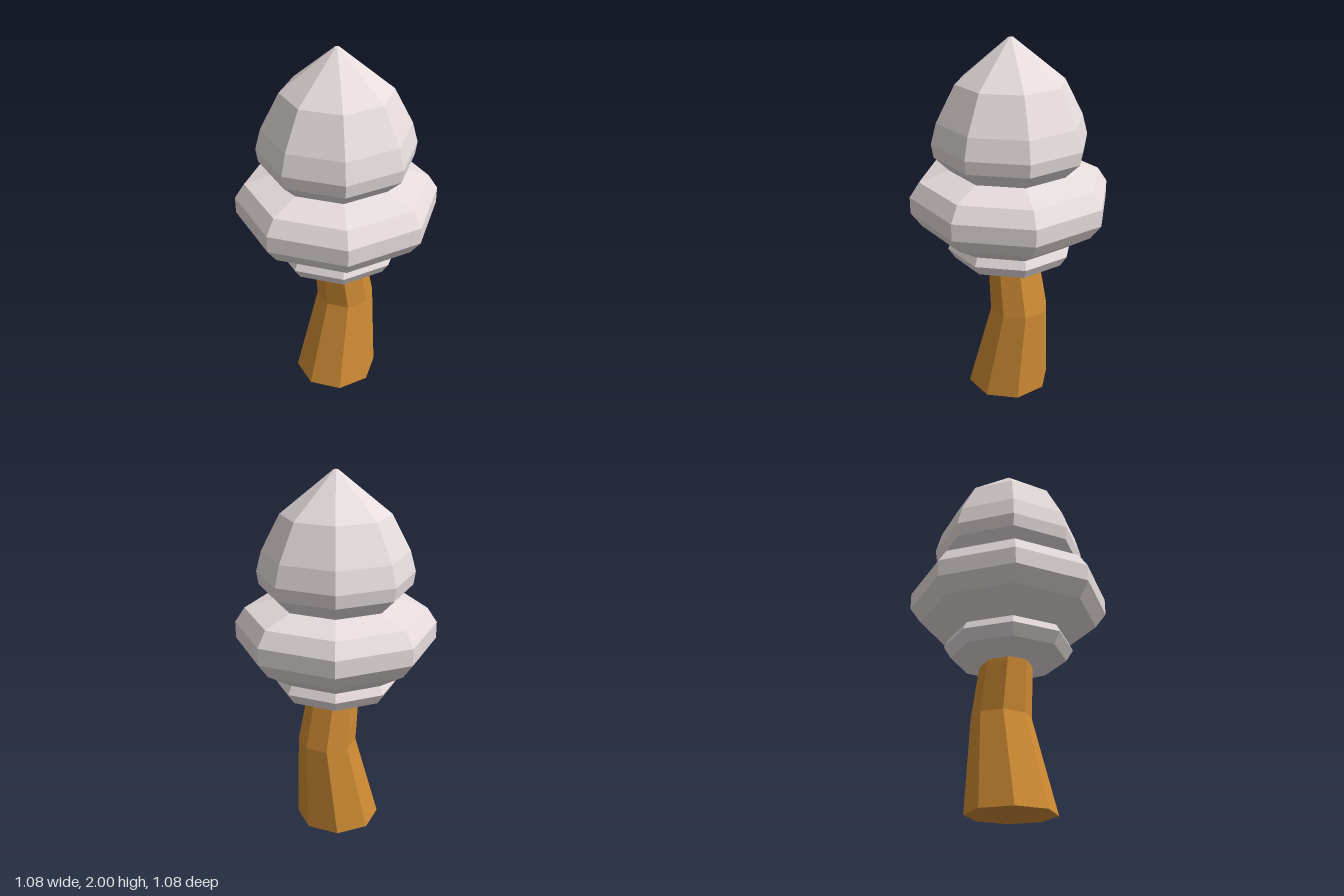
import * as THREE from 'three';

const SIDES = 8;

// Trunk cross-sections from the ground up: height, radius, centre x, centre z
const TRUNK_RINGS = [
  [0, 0.234, 0.002, 0.015],
  [0.51, 0.16, 0.01, -0.06],
  [0.77, 0.143, 0.002, -0.022],
  [0.95, 0.13, 0, 0],
];

// Foliage tiers: radius, height
const TIERS = {
  lowerFoliage: [[0, 0.84], [0.18, 0.77], [0.31, 0.825], [0.348, 0.885], [0.325, 0.93]],
  middleFoliage: [[0.325, 0.93], [0.48, 1.03], [0.538, 1.11], [0.538, 1.2], [0.485, 1.28], [0.325, 1.33]],
  upperFoliage: [[0.325, 1.33], [0.405, 1.41], [0.415, 1.48], [0.385, 1.59], [0.285, 1.78], [0.012, 2], [0, 2]],
};

// Bent, tapering trunk: each ring of a unit cylinder is scaled and shifted
function makeTrunk(material) {
  const rows = TRUNK_RINGS.length - 1;
  const geometry = new THREE.CylinderGeometry(1, 1, 1, SIDES, rows);
  const p = geometry.attributes.position;
  for (let i = 0; i < p.count; i++) {
    const [y, r, cx, cz] = TRUNK_RINGS[Math.round((p.getY(i) + 0.5) * rows)];
    p.setXYZ(i, cx + p.getX(i) * r, y, cz + p.getZ(i) * r);
  }
  geometry.computeVertexNormals();
  const trunk = new THREE.Mesh(geometry, material);
  trunk.name = 'trunk';
  return trunk;
}

// Eight-sided foliage tier turned from a profile
function makeTier(name, profile, material) {
  const points = profile.map(([r, y]) => new THREE.Vector2(r, y));
  const tier = new THREE.Mesh(new THREE.LatheGeometry(points, SIDES), material);
  tier.name = name;
  return tier;
}

export function createModel() {
  const bark = new THREE.MeshStandardMaterial({ color: 0xd08c34, flatShading: true });
  const leaves = new THREE.MeshStandardMaterial({ color: 0xe6dcdd, flatShading: true, side: THREE.DoubleSide });

  const tree = new THREE.Group();
  tree.name = 'tree';
  tree.add(makeTrunk(bark));

  const foliage = new THREE.Group();
  foliage.name = 'foliage';
  for (const [name, profile] of Object.entries(TIERS)) foliage.add(makeTier(name, profile, leaves));
  tree.add(foliage);
  return tree;
}
